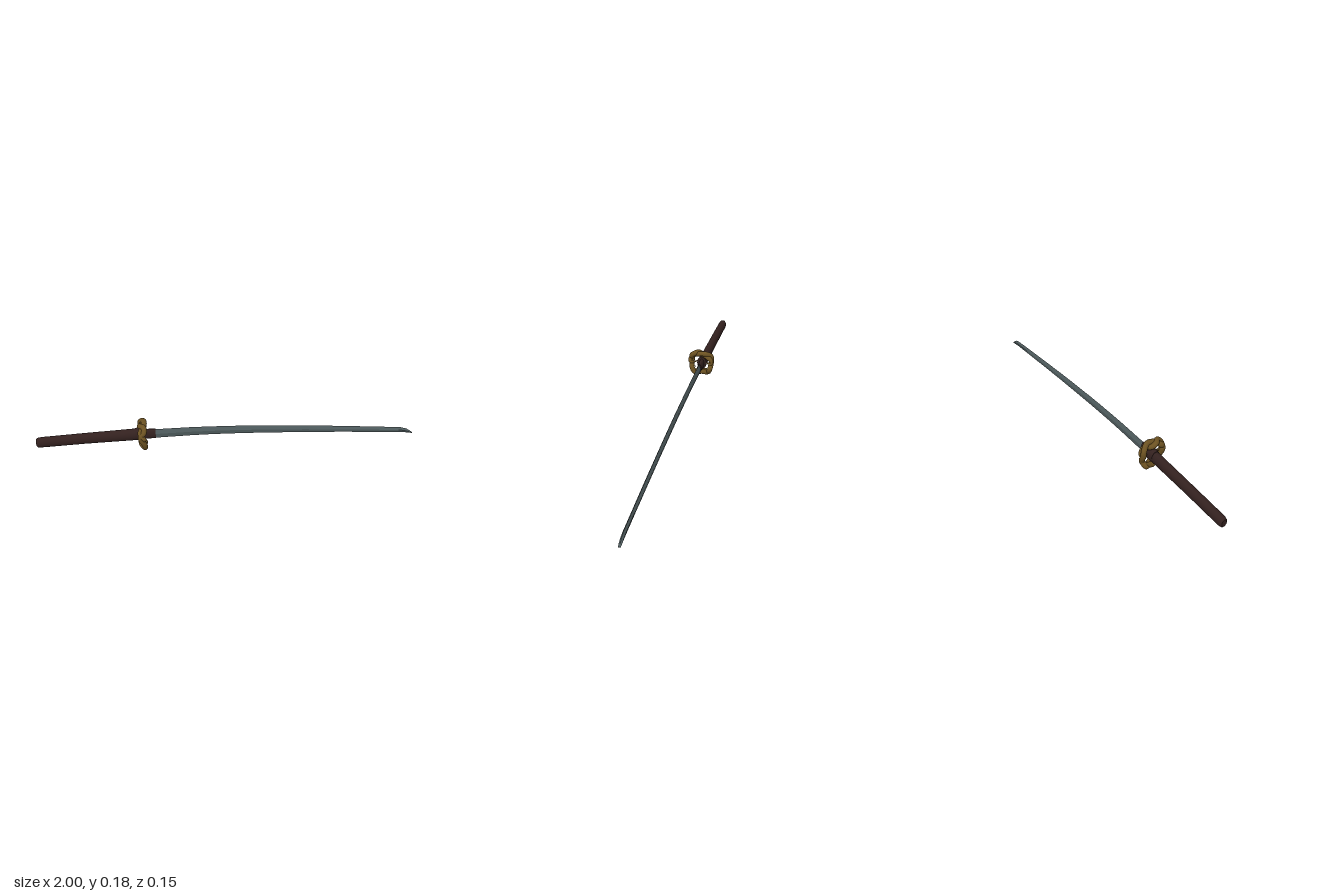
import * as THREE from 'three';

const steel = new THREE.MeshStandardMaterial({ color: 0x4f5c5e });
steel.name = 'dark steel';
const brown = new THREE.MeshStandardMaterial({ color: 0x33211f });
brown.name = 'dark brown';
const brass = new THREE.MeshStandardMaterial({ color: 0x6c5222 });
brass.name = 'aged brass';

// Skin a row of rings running along +x, capped at both ends with separate vertices.
function loft(rings, flat) {
  const n = rings[0].length, pos = rings.flat(2), index = [];
  for (let i = 0; i < rings.length - 1; i++) {
    for (let j = 0; j < n; j++) {
      const k = (j + 1) % n;
      const a = i * n + j, b = i * n + k, c = a + n, d = b + n;
      index.push(a, b, d, a, d, c);
    }
  }
  for (const end of [0, rings.length - 1]) {
    const start = pos.length / 3;
    pos.push(...rings[end].flat());
    for (let j = 1; j < n - 1; j++) {
      if (end) index.push(start, start + j, start + j + 1);
      else index.push(start, start + j + 1, start + j);
    }
  }
  let geo = new THREE.BufferGeometry();
  geo.setAttribute('position', new THREE.Float32BufferAttribute(pos, 3));
  geo.setIndex(index);
  if (flat) geo = geo.toNonIndexed();
  geo.computeVertexNormals();
  return geo;
}

// Oval ring in the yz plane
function oval(x, y, z, ry, rz, n = 24) {
  return Array.from({ length: n }, (_, j) => {
    const a = (j / n) * Math.PI * 2;
    return [x, y + ry * Math.cos(a), z + rz * Math.sin(a)];
  });
}

// Five-sided blade section: sharp edge on top, ridge, flat spine below
function bladeRing([x, low, high, half]) {
  const z = -0.004 - 0.005 * (x + 0.44) / 1.44;
  const ridge = low + (high - low) * 0.5;
  return [[x, high, z], [x, ridge, z + half], [x, low, z + half * 0.8],
    [x, low, z - half * 0.8], [x, ridge, z - half]];
}

// Rounded cord whose radius follows a rule along its path
function cord(points, radius) {
  const path = new THREE.CatmullRomCurve3(points.map(([z, y, x]) => new THREE.Vector3(-0.453 + x, y, z)));
  const segments = 90, sides = 12;
  const geo = new THREE.TubeGeometry(path, segments, 1, sides, false);
  const pos = geo.attributes.position, v = new THREE.Vector3();
  for (let i = 0; i <= segments; i++) {
    const centre = path.getPointAt(i / segments), r = radius(i / segments);
    for (let j = 0; j <= sides; j++) {
      const k = i * (sides + 1) + j;
      v.fromBufferAttribute(pos, k).sub(centre).multiplyScalar(r).add(centre);
      pos.setXYZ(k, v.x, v.y, v.z);
    }
  }
  return geo;
}

export function createModel() {
  const model = new THREE.Group();
  model.name = 'curvedSword';
  const add = (name, geo, mat, parent = model) => {
    const mesh = new THREE.Mesh(geo, mat);
    mesh.name = name;
    parent.add(mesh);
  };

  // Blade stations: x, spine height, edge height, half thickness
  add('blade', loft([
    [-0.44, 0.077, 0.127, 0.009], [-0.2, 0.079, 0.126, 0.009], [-0.1, 0.078, 0.123, 0.009],
    [0, 0.075, 0.119, 0.009], [0.1, 0.071, 0.114, 0.009], [0.2, 0.066, 0.107, 0.009],
    [0.3, 0.06, 0.1, 0.009], [0.4, 0.054, 0.092, 0.0085], [0.5, 0.047, 0.083, 0.0085],
    [0.6, 0.04, 0.074, 0.0085], [0.7, 0.032, 0.064, 0.0085], [0.8, 0.024, 0.054, 0.008],
    [0.93, 0.013, 0.041, 0.008], [0.965, 0.008, 0.029, 0.008], [0.988, 0.003, 0.013, 0.0075],
    [1, 0, 0.002, 0.006],
  ].map(bladeRing), true), steel);

  // Handle with a rounded pommel
  const z = -0.005;
  add('handle', loft([
    oval(-1, 0.084, z, 0.019, 0.014), oval(-0.996, 0.084, z, 0.025, 0.019),
    oval(-0.985, 0.085, z, 0.028, 0.022), oval(-0.96, 0.086, z, 0.029, 0.0225),
    oval(-0.75, 0.094, z, 0.03, 0.023), oval(-0.49, 0.101, z, 0.033, 0.024),
  ]), brown);
  add('handleFerrule', loft([
    oval(-0.49, 0.102, z, 0.035, 0.025), oval(-0.445, 0.105, z, 0.038, 0.027),
  ]), brown);
  add('bladeCollar', loft([
    oval(-0.447, 0.1, z, 0.031, 0.0135), oval(-0.385, 0.1, z, 0.029, 0.012),
  ]), brown);

  // Guard of two interwoven cords: thin tail, full body, blunt head
  const guard = new THREE.Group();
  guard.name = 'guard';
  model.add(guard);
  const body = t => 0.0145 * Math.min(1, 0.15 + t * 4.5) * Math.sqrt(Math.max(0, Math.min(1, (1 - t) * 18)));
  const w = 0.009;
  add('guardCordLeft', cord([
    [0.02, 0.112, 0], [0.054, 0.103, w], [0.064, 0.114, w], [0.048, 0.14, -w],
    [0.011, 0.162, w], [-0.027, 0.166, w], [-0.055, 0.144, -w], [-0.058, 0.112, -w],
    [-0.052, 0.069, w], [-0.037, 0.041, -w], [-0.005, 0.05, w], [0.033, 0.058, w],
  ], body), brass, guard);
  add('guardCordRight', cord([
    [-0.025, 0.108, 0], [-0.058, 0.104, w], [-0.062, 0.122, w], [-0.038, 0.147, w],
    [-0.006, 0.152, -w], [0.015, 0.164, -w], [0.033, 0.165, w], [0.053, 0.148, w],
    [0.055, 0.12, -w], [0.051, 0.07, w], [0.034, 0.042, w], [-0.005, 0.041, -w], [-0.042, 0.058, -w],
  ], body), brass, guard);
  add('guardTendril', cord([
    [0.06, 0.1, 0], [0.05, 0.084, w], [0.036, 0.08, w], [0.024, 0.07, w],
  ], t => 0.007 * (1 - t)), brass, guard);

  return model;
}
